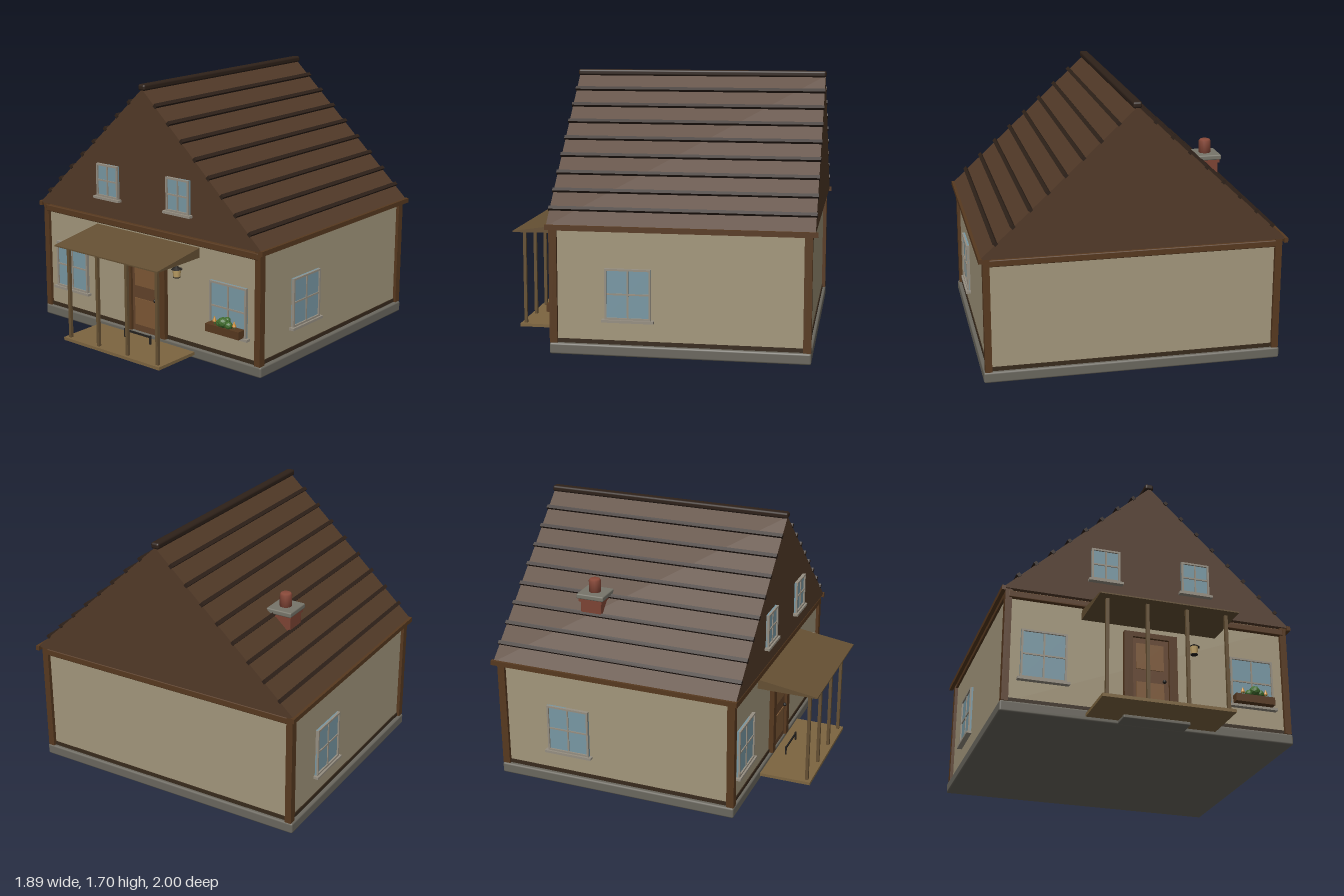
import * as THREE from 'three';
import { RoundedBoxGeometry } from 'three/addons/geometries/RoundedBoxGeometry.js';

const mat = (color, extra = {}) => new THREE.MeshStandardMaterial({ color, ...extra });
const M = {
  wall: mat(0xa3977c), timber: mat(0x57391f), dark: mat(0x382a1c), roof: mat(0x523a28),
  rib: mat(0x2e2119), stone: mat(0x6a675e), porch: mat(0x655033), deck: mat(0x7d6540),
  door: mat(0x63432a), panel: mat(0x7d5835), frame: mat(0x968f82), glass: mat(0x7898a4),
  brick: mat(0x7d4434), pot: mat(0x8a4a3a), cap: mat(0x77756a), iron: mat(0x24211e),
  lamp: mat(0xc2a468), leaf: mat(0x3f6b2c, { flatShading: true }), petal: mat(0xc98a2c, { flatShading: true }),
};

function add(parent, name, geometry, material, x = 0, y = 0, z = 0) {
  const mesh = new THREE.Mesh(geometry, material);
  mesh.name = name;
  mesh.position.set(x, y, z);
  parent.add(mesh);
  return mesh;
}

// Box given by its extents on each axis
function box(parent, name, material, [x0, x1], [y0, y1], [z0, z1], radius = 0) {
  const s = [x1 - x0, y1 - y0, z1 - z0];
  const geo = radius ? new RoundedBoxGeometry(...s, 2, radius) : new THREE.BoxGeometry(...s);
  return add(parent, name, geo, material, (x0 + x1) / 2, (y0 + y1) / 2, (z0 + z1) / 2);
}

function group(parent, name, x = 0, y = 0, z = 0) {
  const g = new THREE.Group();
  g.name = name;
  g.position.set(x, y, z);
  parent.add(g);
  return g;
}

// Four-pane window, facing +z, origin at the middle of its back
function makeWindow(parent, name, w, h, x, y, z, turn = 0) {
  const g = group(parent, name, x, y, z);
  g.rotation.y = turn;
  const a = w / 2, b = h / 2, t = 0.012;
  box(g, 'glass', M.glass, [-a, a], [-b, b], [-0.01, 0.008]);
  for (const s of [-1, 1]) {
    add(g, 'sideFrame', new THREE.BoxGeometry(t, h, 0.03), M.frame, s * (a - t / 2), 0, 0.003);
    add(g, 'crossFrame', new THREE.BoxGeometry(w, t, 0.03), M.frame, 0, s * (b - t / 2), 0.003);
  }
  add(g, 'uprightBar', new THREE.BoxGeometry(0.01, h, 0.016), M.frame, 0, 0, 0.006);
  add(g, 'crossBar', new THREE.BoxGeometry(w, 0.01, 0.016), M.frame, 0, 0, 0.006);
  box(g, 'sill', M.frame, [-a - 0.018, a + 0.018], [-b - 0.016, -b], [-0.01, 0.03]);
}

// Solid from a side outline of points, pushed along the outline's z
function prism(points, depth) {
  const shape = new THREE.Shape(points.map(p => new THREE.Vector2(...p)));
  return new THREE.ExtrudeGeometry(shape, { depth, bevelEnabled: false });
}

function buildWalls(root) {
  const g = group(root, 'walls');
  box(g, 'foundation', M.stone, [-0.93, 0.93], [0.005, 0.075], [-0.97, 0.63], 0.012);
  box(g, 'wallBlock', M.wall, [-0.9, 0.9], [0.07, 0.8], [-0.945, 0.608]);
  box(g, 'baseTrim', M.dark, [-0.906, 0.906], [0.075, 0.1], [-0.951, 0.614]);
  for (const x of [-0.9, 0.9])
    for (const z of [-0.945, 0.605])
      box(g, 'cornerPost', M.timber, [x - 0.021, x + 0.021], [0.075, 0.8], [z - 0.024, z + 0.024]);
  for (const z of [-0.945, 0.61])
    box(g, 'topBeam', M.timber, [-0.9, 0.9], [0.745, 0.788], [z - 0.024, z + 0.024], 0.006);
  for (const x of [-0.9, 0.9])
    box(g, 'sideBeam', M.timber, [x - 0.015, x + 0.015], [0.772, 0.8], [-0.945, 0.61]);
}

function buildRoof(root) {
  const g = group(root, 'roof');
  const half = 0.94, eave = 0.8, top = 1.67, slope = Math.atan2(top - eave, half);
  add(g, 'gableRoof', prism([[-half, eave], [half, eave], [0, top]], 1.625), M.roof, 0, 0, -0.985);
  for (const s of [-1, 1]) {
    for (let i = 1; i <= 8; i++) {
      const x = 0.005 + i * 0.105;
      const rib = add(g, 'roofRib', new THREE.BoxGeometry(0.024, 0.024, 1.635), M.rib,
        s * x, top - x * Math.tan(slope) + 0.008, -0.1725);
      rib.rotation.z = -s * slope;
    }
    box(g, 'eaveBoard', M.timber, [s * 0.935 - 0.012, s * 0.935 + 0.012], [0.78, 0.81], [-1, 0.648]);
  }
  box(g, 'ridgeCap', M.rib, [-0.028, 0.028], [1.66, 1.7], [-0.99, 0.648], 0.014);
}

function buildChimney(root) {
  const g = group(root, 'chimney', -0.57, 0, -0.435);
  box(g, 'stack', M.brick, [-0.07, 0.07], [0.95, 1.18], [-0.07, 0.07], 0.006);
  box(g, 'collar', M.brick, [-0.078, 0.078], [1.172, 1.195], [-0.078, 0.078]);
  box(g, 'capstone', M.cap, [-0.085, 0.085], [1.192, 1.225], [-0.092, 0.092], 0.008);
  const pot = [[0, 0], [0.038, 0], [0.038, 0.078], [0.03, 0.088], [0, 0.088]];
  add(g, 'pot', new THREE.LatheGeometry(pot.map(p => new THREE.Vector2(...p)), 16), M.pot, 0, 1.222, 0);
}

function buildDoor(root) {
  const g = group(root, 'door');
  for (const s of [-1, 1])
    box(g, 'doorJamb', M.timber, [s * 0.144 - 0.027, s * 0.144 + 0.027], [0.075, 0.625], [0.59, 0.64]);
  box(g, 'doorLintel', M.timber, [-0.117, 0.117], [0.592, 0.625], [0.59, 0.64]);
  box(g, 'doorLeaf', M.door, [-0.117, 0.117], [0.075, 0.592], [0.59, 0.622]);
  box(g, 'upperPanel', M.panel, [-0.093, 0.085], [0.385, 0.555], [0.61, 0.628]);
  box(g, 'lowerPanel', M.panel, [-0.093, 0.085], [0.12, 0.3], [0.61, 0.628]);
  add(g, 'doorKnob', new THREE.SphereGeometry(0.012, 12, 8), M.iron, 0.086, 0.315, 0.634);
}

function buildPorch(root) {
  const g = group(root, 'porch');
  // Wedge outline in z and y, turned so that it runs along x
  const wedge = add(g, 'porchRoof', prism([[-0.61, 0.668], [-0.61, 0.73], [-1, 0.672], [-1, 0.664]], 0.874), M.porch, -0.437);
  wedge.rotation.y = Math.PI / 2;
  for (const x of [-0.375, -0.125, 0.125, 0.375])
    box(g, 'porchPost', M.porch, [x - 0.01, x + 0.01], [0.045, 0.675], [0.925, 0.945]);
  box(g, 'deck', M.deck, [-0.41, 0.41], [0.03, 0.05], [0.62, 0.965]);
  box(g, 'stoneStep', M.stone, [-0.21, 0.21], [0.008, 0.03], [0.6, 0.74], 0.006);
  for (const x of [-0.11, 0.11])
    box(g, 'scraperPost', M.iron, [x - 0.005, x + 0.005], [0.045, 0.108], [0.705, 0.715]);
  box(g, 'scraperBar', M.iron, [-0.11, 0.11], [0.092, 0.104], [0.706, 0.714]);
}

function buildLantern(root) {
  const g = group(root, 'lantern', 0.28, 0, 0.645);
  add(g, 'lanternGlass', new THREE.CylinderGeometry(0.028, 0.022, 0.052, 8), M.lamp, 0, 0.546, 0);
  add(g, 'lanternHood', new THREE.ConeGeometry(0.038, 0.024, 8), M.iron, 0, 0.582, 0);
  add(g, 'lanternFoot', new THREE.CylinderGeometry(0.024, 0.022, 0.006, 8), M.iron, 0, 0.519, 0);
  box(g, 'lanternBracket', M.iron, [-0.006, 0.006], [0.56, 0.572], [-0.04, 0]);
}

function buildFlowerBox(root) {
  const g = group(root, 'flowerBox', 0.667, 0, 0.655);
  box(g, 'planter', M.timber, [-0.13, 0.13], [0.235, 0.285], [-0.045, 0.025]);
  for (const [x, y, z, r] of [[0, 0.315, 0.01, 0.034], [-0.035, 0.3, 0, 0.024], [0.038, 0.302, 0.004, 0.026], [0.012, 0.325, -0.015, 0.022]])
    add(g, 'bush', new THREE.IcosahedronGeometry(r, 1), M.leaf, x, y, z);
  for (const x of [-0.075, 0.078]) {
    add(g, 'flowerStem', new THREE.CylinderGeometry(0.003, 0.003, 0.03, 6), M.leaf, x, 0.296, 0);
    add(g, 'flower', new THREE.ConeGeometry(0.014, 0.036, 6), M.petal, x, 0.322, 0);
  }
}

export function createModel() {
  const root = new THREE.Group();
  root.name = 'cottage';
  buildWalls(root);
  buildRoof(root);
  buildChimney(root);
  buildDoor(root);
  buildPorch(root);
  buildLantern(root);
  buildFlowerBox(root);
  for (const s of [-1, 1]) {
    makeWindow(root, 'frontWindow', 0.285, 0.315, s * 0.67, 0.39, 0.611);
    makeWindow(root, 'gableWindow', 0.185, 0.215, s * 0.297, 1.045, 0.643);
  }
  makeWindow(root, 'leftWindow', 0.285, 0.315, 0.903, 0.39, 0.142, Math.PI / 2);
  makeWindow(root, 'rightWindow', 0.285, 0.315, -0.903, 0.39, -0.49, -Math.PI / 2);
  return root;
}
